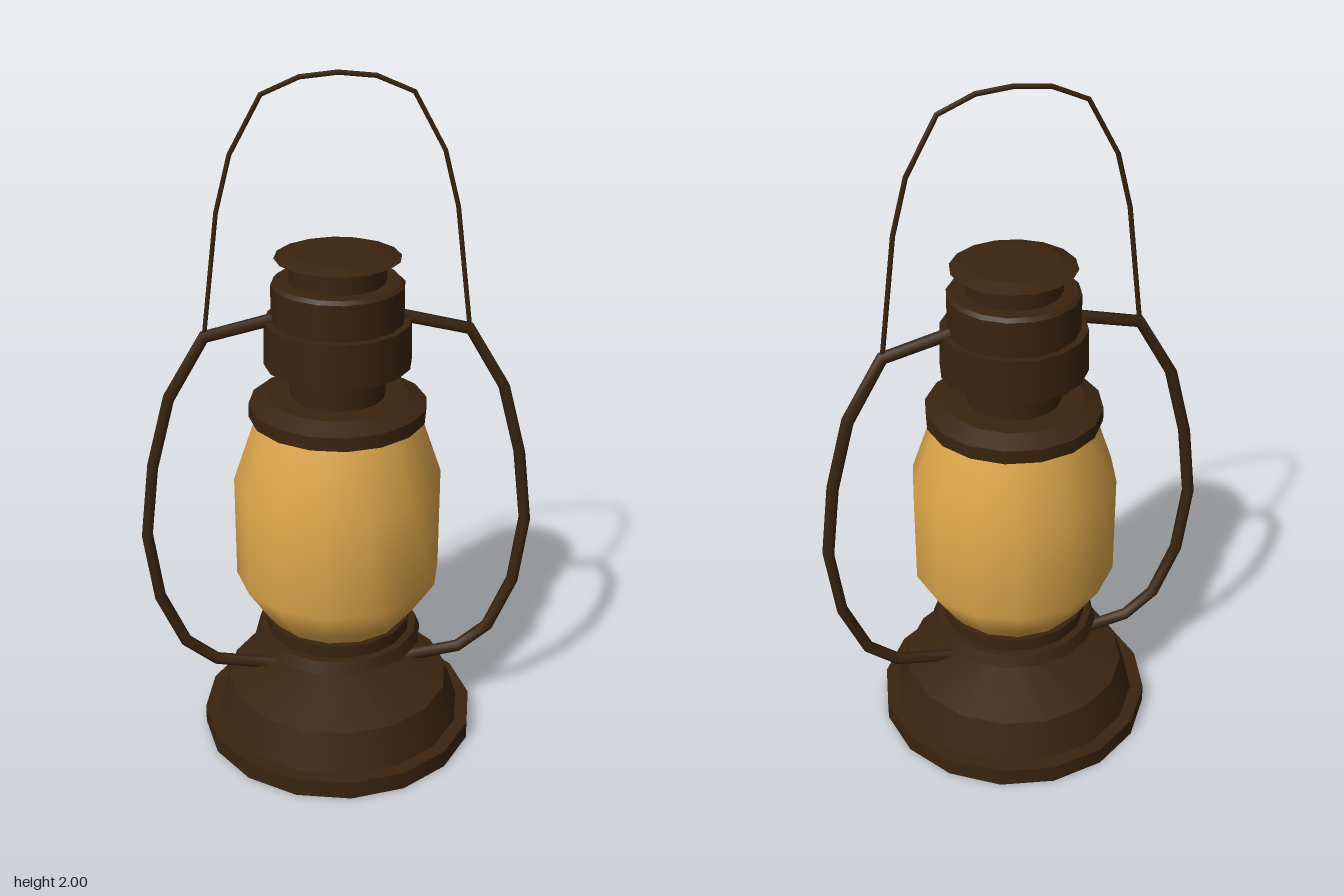
import * as THREE from 'three';
import { mergeGeometries } from 'three/addons/utils/BufferGeometryUtils.js';

// Lathe with hard edges between bands and smooth shading around the axis
function turned(profile, sides) {
  const bands = [];
  for (let i = 0; i < profile.length - 1; i++) {
    const pair = [profile[i], profile[i + 1]].map(([r, y]) => new THREE.Vector2(r, y));
    bands.push(new THREE.LatheGeometry(pair, sides));
  }
  return mergeGeometries(bands);
}

// Straight-segment path with one tube ring at each corner
class Polyline extends THREE.Curve {
  constructor(points) {
    super();
    this.points = points.map(([x, y]) => new THREE.Vector3(x, y, 0));
  }
  getPoint(t, target = new THREE.Vector3()) {
    const n = this.points.length - 1;
    const i = Math.min(Math.floor(t * n + 1e-9), n - 1);
    return target.lerpVectors(this.points[i], this.points[i + 1], t * n - i);
  }
  getPointAt(u, target) { return this.getPoint(u, target); }
  getTangentAt(u, target) { return this.getTangent(u, target); }
}

function rod(points, radius, sides) {
  return new THREE.TubeGeometry(new Polyline(points), points.length - 1, radius, sides);
}

export function createModel() {
  const model = new THREE.Group();
  model.name = 'lantern';
  const metal = new THREE.MeshStandardMaterial({ name: 'dark bronze metal', color: 0x3a2410 });
  const glass = new THREE.MeshStandardMaterial({ name: 'amber glass', color: 0xe0a84c });

  const add = (name, geometry, material = metal) => {
    const mesh = new THREE.Mesh(geometry, material);
    mesh.name = name;
    model.add(mesh);
    return mesh;
  };

  // Foot and fuel tank, with the neck on top
  add('base', turned([
    [0, 0], [0.41, 0], [0.41, 0.055], [0.37, 0.055], [0.333, 0.17],
    [0.125, 0.24], [0.113, 0.32],
  ], 16));

  // Ring that carries the globe
  add('globeSeat', turned([
    [0.1, 0.315], [0.25, 0.315], [0.237, 0.35], [0.215, 0.35], [0.215, 0.39], [0, 0.39],
  ], 16));

  // Globe, smooth all over and slightly narrower front to back
  const globeProfile = [
    [0.2, 0.385], [0.235, 0.43], [0.3, 0.53], [0.3, 0.84], [0.23, 1.045],
  ].map(([r, y]) => new THREE.Vector2(r, y));
  const globeGeometry = new THREE.LatheGeometry(globeProfile, 14);
  globeGeometry.rotateY(Math.PI / 14 * 7);
  globeGeometry.scale(1, 1, 0.97);
  add('globe', globeGeometry, glass);

  // Collar above the globe
  add('collar', turned([
    [0, 1.035], [0.253, 1.035], [0.253, 1.075], [0.2, 1.1], [0.135, 1.1],
  ], 16));

  // Stepped chimney
  add('chimney', turned([
    [0.135, 1.095], [0.135, 1.195], [0.208, 1.195], [0.205, 1.322], [0.185, 1.322],
    [0.185, 1.425], [0.175, 1.435], [0.135, 1.435], [0.135, 1.5],
  ], 16));

  // Thin flared cap
  add('cap', turned([
    [0, 1.495], [0.175, 1.5], [0.13, 1.515], [0, 1.515],
  ], 16));

  // Side tubes from the chimney down to the tank
  const sidePath = [
    [0.15, 1.333], [0.37, 1.28], [0.475, 1.1], [0.53, 0.89], [0.557, 0.67],
    [0.53, 0.46], [0.46, 0.3], [0.37, 0.23], [0.2, 0.203], [0.12, 0.2],
  ];
  for (const side of [1, -1]) {
    add(side > 0 ? 'leftFrameTube' : 'rightFrameTube',
      rod(sidePath.map(([x, y]) => [x * side, y]), 0.018, 6));
  }

  // Wire carrying handle
  const half = [[0.37, 1.275], [0.325, 1.63], [0.285, 1.785], [0.2, 1.94], [0.1, 1.983]];
  const mirrored = half.map(([x, y]) => [-x, y]).reverse();
  add('handle', rod([...half, [0, 1.993], ...mirrored], 0.007, 6));

  return model;
}
